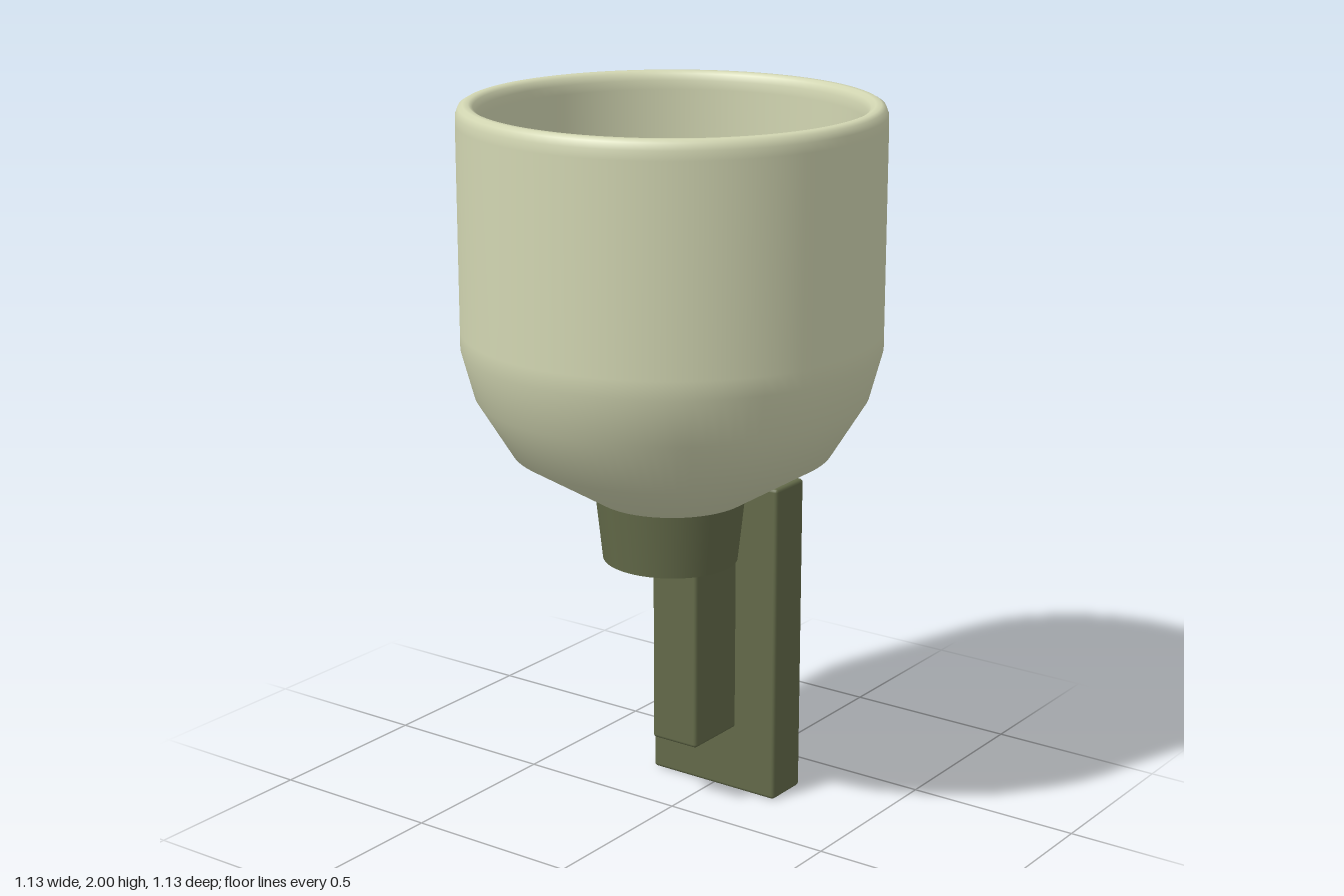
import * as THREE from 'three';
import { RoundedBoxGeometry } from 'three/addons/geometries/RoundedBoxGeometry.js';

const cream = new THREE.MeshStandardMaterial({ color: 0xd2d6b2 });
cream.name = 'cream shade';
const olive = new THREE.MeshStandardMaterial({ color: 0x636a49 });
olive.name = 'olive metal';

function lathe(name, points, material) {
  const profile = points.map(([r, y]) => new THREE.Vector2(r, y));
  const mesh = new THREE.Mesh(new THREE.LatheGeometry(profile, 96), material);
  mesh.name = name;
  return mesh;
}

// Box given by its lower and upper corners
function block(name, [x0, y0, z0], [x1, y1, z1]) {
  const mesh = new THREE.Mesh(new RoundedBoxGeometry(x1 - x0, y1 - y0, z1 - z0, 2, 0.01), olive);
  mesh.position.set((x0 + x1) / 2, (y0 + y1) / 2, (z0 + z1) / 2);
  mesh.name = name;
  return mesh;
}

export function createModel() {
  const group = new THREE.Group();
  group.name = 'wallLamp';

  // Hollow shade: outer wall upward, rounded rim, inner wall down to the floor
  group.add(lathe('shade', [
    [0, 0.925], [0.2, 0.925], [0.21, 0.928], [0.435, 1.065], [0.53, 1.22], [0.565, 1.35], [0.565, 1.4],
    [0.565, 1.95], [0.564, 1.975], [0.557, 1.993], [0.545, 2], [0.53, 2], [0.518, 1.993], [0.511, 1.975],
    [0.51, 1.95], [0.51, 1.4], [0.508, 1.36], [0.48, 1.24], [0.4, 1.1], [0.19, 0.98], [0, 0.98],
  ], cream));

  // Domed diffuser inside the shade
  const dome = [[0.39, 1.09], [0.4, 1.12], [0.4, 1.14]];
  for (let i = 1; i <= 10; i++) {
    const r = 0.39 * (1 - i / 10);
    dome.push([r, 1.15 + 0.14 * (1 - (r / 0.39) ** 2)]);
  }
  group.add(lathe('diffuser', dome, cream));

  // Tapered cup under the shade
  const cup = new THREE.Mesh(new THREE.CylinderGeometry(0.207, 0.187, 0.18, 64), olive);
  cup.name = 'cup';
  cup.position.set(0, 0.84, 0.008);
  cup.scale.z = 0.96;
  group.add(cup);

  // Upright arm and the wall plate behind it
  group.add(block('arm', [-0.075, 0.19, -0.26], [0.075, 0.965, -0.01]));
  group.add(block('wallPlate', [-0.21, 0, -0.335], [0.21, 0.925, -0.2]));

  return group;
}
